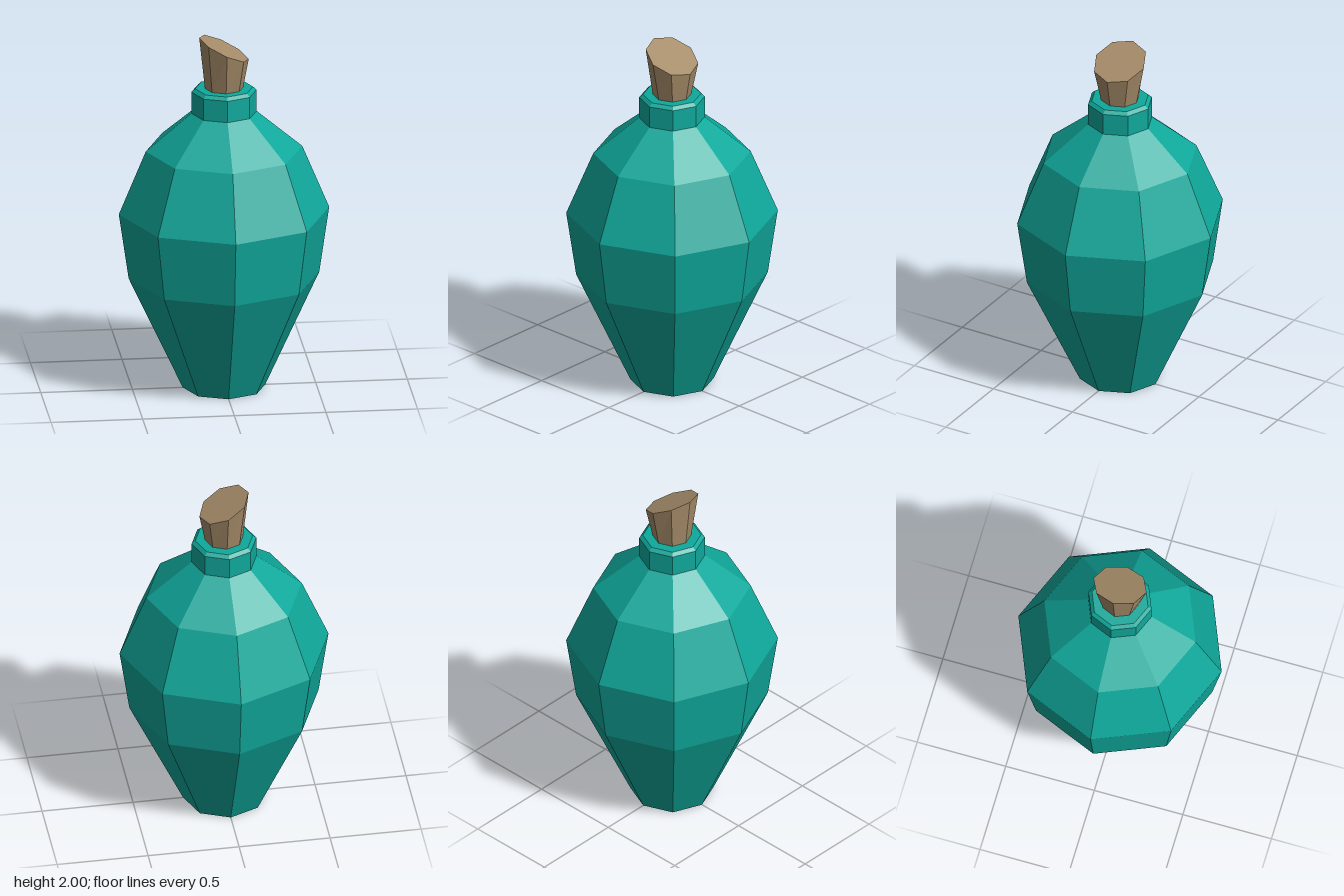
import * as THREE from 'three';

const SIDES = 8;

// Separate every face so that normals are flat
function faceted(geometry) {
  const flat = geometry.toNonIndexed();
  flat.computeVertexNormals();
  return flat;
}

function addPart(group, name, geometry, material) {
  const mesh = new THREE.Mesh(faceted(geometry), material);
  mesh.name = name;
  group.add(mesh);
}

const lathe = (profile) =>
  new THREE.LatheGeometry(profile.map(([r, y]) => new THREE.Vector2(r, y)), SIDES);

export function createModel() {
  const group = new THREE.Group();
  group.name = 'corkedBottle';

  const glass = new THREE.MeshStandardMaterial({ color: 0x10a99c });
  glass.name = 'tealGlass';
  const corkBrown = new THREE.MeshStandardMaterial({ color: 0xa68c69 });
  corkBrown.name = 'corkBrown';

  // Eight-sided body with a closed base
  addPart(group, 'body', lathe([
    [0, 0], [0.225, 0], [0.52, 0.635], [0.574, 1.005], [0.427, 1.36], [0.178, 1.57],
  ]), glass);

  // Neck collar with a small bevel around the lip
  addPart(group, 'neck', lathe([
    [0.178, 1.57], [0.178, 1.692], [0.158, 1.71], [0, 1.71],
  ]), glass);

  // Tapered cork whose top octagon is tilted down towards +x
  const bottom = 1.7, top = 1.935, tilt = Math.asin(0.065 / 0.15);
  const cork = new THREE.CylinderGeometry(0.15, 0.103, top - bottom, SIDES);
  cork.translate(0, (top + bottom) / 2, 0);
  const p = cork.attributes.position;
  for (let i = 0; i < p.count; i++) {
    if (p.getY(i) < top - 0.01) continue;
    const x = p.getX(i);
    p.setXY(i, x * Math.cos(tilt), top - x * Math.sin(tilt));
  }
  addPart(group, 'cork', cork, corkBrown);

  return group;
}
